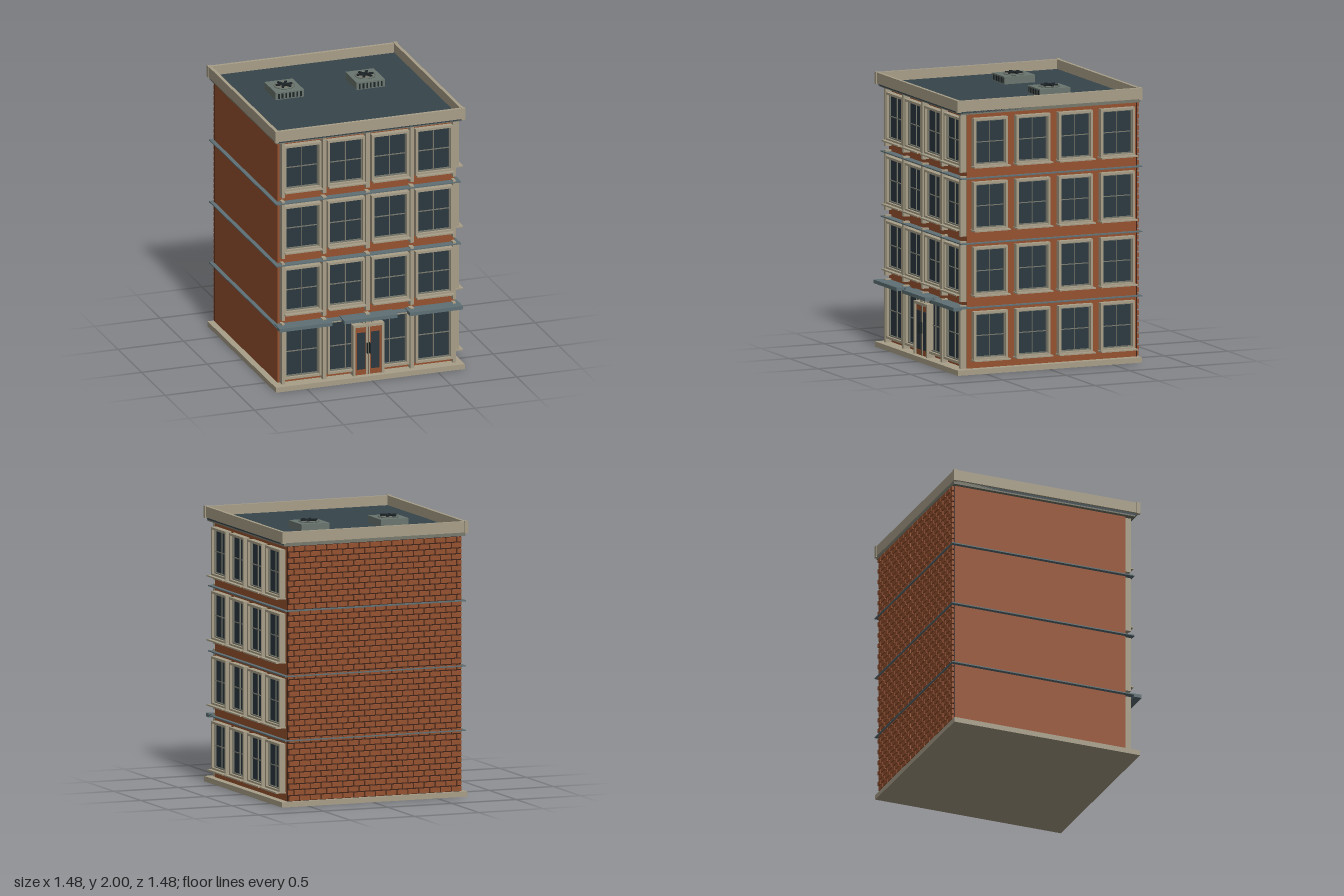
import * as THREE from 'three';
import { mergeGeometries } from 'three/addons/utils/BufferGeometryUtils.js';

const mat = (name, color) => {
  const m = new THREE.MeshStandardMaterial({ color });
  m.name = name;
  return m;
};

export function createModel() {
  const wallMat = mat('red brick', 0x96512f);
  const mortarMat = mat('dark mortar', 0x3c2015);
  const trimMat = mat('beige stone', 0xa89f88);
  const sashMat = mat('grey sash', 0x77786c);
  const glassMat = mat('dark glass', 0x2b3840);
  const roofMat = mat('slate roof', 0x36444b);
  const awningMat = mat('blue grey metal', 0x5e7075);
  const ventMat = mat('vent grey', 0x6a756f);
  const darkMat = mat('fan black', 0x1c2427);

  const model = new THREE.Group();
  model.name = 'building';

  // box given by its limits on each axis
  const boxGeo = (x0, x1, y0, y1, z0, z1) =>
    new THREE.BoxGeometry(x1 - x0, y1 - y0, z1 - z0)
      .translate((x0 + x1) / 2, (y0 + y1) / 2, (z0 + z1) / 2);
  const add = (parent, name, material, geo) => {
    const mesh = new THREE.Mesh(geo, material);
    mesh.name = name;
    parent.add(mesh);
    return mesh;
  };
  const box = (parent, name, material, ...b) => add(parent, name, material, boxGeo(...b));
  const group = (name, parent = model) => {
    const g = new THREE.Group();
    g.name = name;
    parent.add(g);
    return g;
  };

  const rect = (path, w, h) => {
    path.moveTo(-w / 2, -h / 2);
    path.lineTo(w / 2, -h / 2);
    path.lineTo(w / 2, h / 2);
    path.lineTo(-w / 2, h / 2);
    path.closePath();
    return path;
  };
  // rectangular ring, centred in x and y, running from z = 0 to depth
  const ringGeo = (w, h, border, depth) => {
    const shape = rect(new THREE.Shape(), w, h);
    shape.holes.push(rect(new THREE.Path(), w - 2 * border, h - 2 * border));
    return new THREE.ExtrudeGeometry(shape, { depth, bevelEnabled: false });
  };

  // main body, base and roof
  const X0 = -0.69, X1 = 0.66, Z0 = -0.705, Z1 = 0.628;
  box(model, 'walls', wallMat, X0, X1, 0.04, 1.91, Z0, Z1);
  box(model, 'base', trimMat, -0.735, 0.706, 0, 0.038, -0.728, 0.72);
  box(model, 'roof', roofMat, -0.72, 0.69, 1.9, 1.925, -0.71, 0.7);

  // cornice: a parapet ring with a smaller moulding under it and corner blocks
  const flatRing = (name, material, x0, x1, y0, y1, z0, z1, border) => {
    const geo = ringGeo(x1 - x0, z1 - z0, border, y1 - y0).rotateX(-Math.PI / 2);
    return add(model, name, material, geo.translate((x0 + x1) / 2, y0, (z0 + z1) / 2));
  };
  flatRing('cornice', trimMat, -0.735, 0.703, 1.915, 1.995, -0.728, 0.716, 0.024);
  flatRing('corniceMoulding', sashMat, -0.72, 0.69, 1.89, 1.915, -0.725, 0.69, 0.06);
  for (const x of [-0.726, 0.694]) {
    for (const z of [-0.72, 0.708]) {
      box(model, 'corniceCorner', trimMat, x - 0.014, x + 0.014, 1.91, 1.998, z - 0.014, z + 0.014);
    }
  }

  // thin ledges between floors
  for (const y of [0.478, 0.945, 1.418]) {
    flatRing('floorLedge', awningMat, -0.72, 0.69, y, y + 0.008, -0.74, 0.685, 0.08);
  }

  // brickwork in relief on the back wall
  box(model, 'mortar', mortarMat, X0, X1, 0.04, 1.89, -0.713, -0.705);
  const rows = 44, pitch = 1.85 / rows, brickW = 0.0844;
  const bricks = [];
  for (let r = 0; r < rows; r++) {
    const y = 0.04 + r * pitch;
    for (let x = X0 - (r % 2) * brickW / 2; x < X1 - 0.01; x += brickW) {
      const a = Math.max(x, X0), b = Math.min(x + brickW - 0.01, X1);
      if (b - a > 0.01) bricks.push(boxGeo(a, b, y + 0.005, y + pitch - 0.005, -0.728, -0.712));
    }
  }
  add(model, 'backBricks', wallMat, mergeGeometries(bricks));

  // one window, facing +z, standing on a wall at z = 0
  const makeWindow = (parent, w, h, sill) => {
    const g = group('window', parent);
    add(g, 'windowFrame', trimMat, ringGeo(w, h, 0.017, 0.045));
    add(g, 'windowSash', sashMat, ringGeo(w - 0.034, h - 0.034, 0.008, 0.026));
    box(g, 'windowGlass', glassMat, -w / 2 + 0.02, w / 2 - 0.02, -h / 2 + 0.02, h / 2 - 0.02, 0, 0.012);
    box(g, 'verticalBar', sashMat, -0.003, 0.003, -h / 2 + 0.02, h / 2 - 0.02, 0.012, 0.02);
    box(g, 'crossBar', sashMat, -w / 2 + 0.02, w / 2 - 0.02, -0.003, 0.003, 0.012, 0.02);
    if (sill) box(g, 'windowSill', trimMat, -0.142, 0.142, -h / 2 - 0.006, -h / 2 + 0.004, 0, 0.076);
    return g;
  };

  const floorY = [0.278, 0.748, 1.22, 1.684];
  const front = group('frontWindows');
  const right = group('sideWindows');
  floorY.forEach((y, floor) => {
    for (const x of [-0.513, -0.18, 0.157, 0.492]) {
      const ground = floor === 0;
      makeWindow(front, 0.285, ground ? 0.41 : 0.35, !ground).position.set(x, ground ? 0.275 : y, Z1);
    }
    for (const z of [0.457, 0.123, -0.212, -0.543]) {
      const win = makeWindow(right, 0.268, 0.352, true);
      win.position.set(X1, y, z);
      win.rotation.y = Math.PI / 2;
    }
  });

  // pilasters between the front windows
  for (const [y0, y1] of [[0.04, 0.5], [0.525, 0.965], [1.0, 1.437], [1.465, 1.9]]) {
    for (const x of [-0.662, -0.347, -0.017, 0.32, 0.643]) {
      const half = Math.abs(x) > 0.6 ? 0.011 : 0.015;
      box(model, 'pilaster', trimMat, x - half, x + half, y0, y1, Z1, 0.676);
    }
  }

  // three awnings over the ground floor
  for (const x of [-0.512, -0.018, 0.48]) {
    box(model, 'awning', awningMat, x - 0.2, x + 0.2, 0.482, 0.492, Z1, 0.7);
    box(model, 'awningLip', awningMat, x - 0.202, x + 0.202, 0.466, 0.492, 0.682, 0.742);
  }

  // entrance with two glazed leaves
  const door = group('entrance');
  door.position.set(-0.016, 0, 0);
  box(door, 'doorPanel', wallMat, -0.1, 0.1, 0.038, 0.405, Z1, 0.675);
  box(door, 'doorLintel', trimMat, -0.118, 0.118, 0.405, 0.425, Z1, 0.69);
  box(door, 'doorSeam', mortarMat, -0.002, 0.002, 0.04, 0.405, 0.67, 0.677);
  for (const s of [-1, 1]) {
    const span = (a, b) => (s > 0 ? [a, b] : [-b, -a]);
    box(door, 'doorJamb', trimMat, ...span(0.1, 0.118), 0.038, 0.405, Z1, 0.69);
    box(door, 'doorGlass', glassMat, ...span(0.022, 0.086), 0.08, 0.36, 0.672, 0.679);
    box(door, 'doorHandle', darkMat, ...span(0.006, 0.013), 0.2, 0.28, 0.675, 0.7);
  }

  // rooftop fan units
  for (const x of [-0.343, 0.274]) {
    const unit = group('roofFan');
    unit.position.set(x, 0, -0.195);
    box(unit, 'fanHousing', ventMat, -0.108, 0.108, 1.92, 1.98, -0.12, 0.12);
    add(unit, 'fanWell', sashMat, new THREE.CylinderGeometry(0.07, 0.07, 0.006, 24).translate(0, 1.982, 0));
    add(unit, 'fanRing', ventMat, new THREE.TorusGeometry(0.073, 0.005, 6, 28).rotateX(Math.PI / 2).translate(0, 1.984, 0));
    add(unit, 'fanHub', darkMat, new THREE.CylinderGeometry(0.018, 0.018, 0.014, 16).translate(0, 1.992, 0));
    for (let i = 0; i < 3; i++) {
      const blade = box(unit, 'fanBlade', darkMat, -0.062, 0.062, 1.987, 1.998, -0.008, 0.008);
      blade.rotation.y = i * Math.PI / 3;
    }
    for (let i = 0; i < 7; i++) {
      const lx = -0.084 + i * 0.028;
      box(unit, 'fanLouvre', darkMat, lx - 0.006, lx + 0.006, 1.932, 1.97, 0.118, 0.123);
    }
  }

  return model;
}
